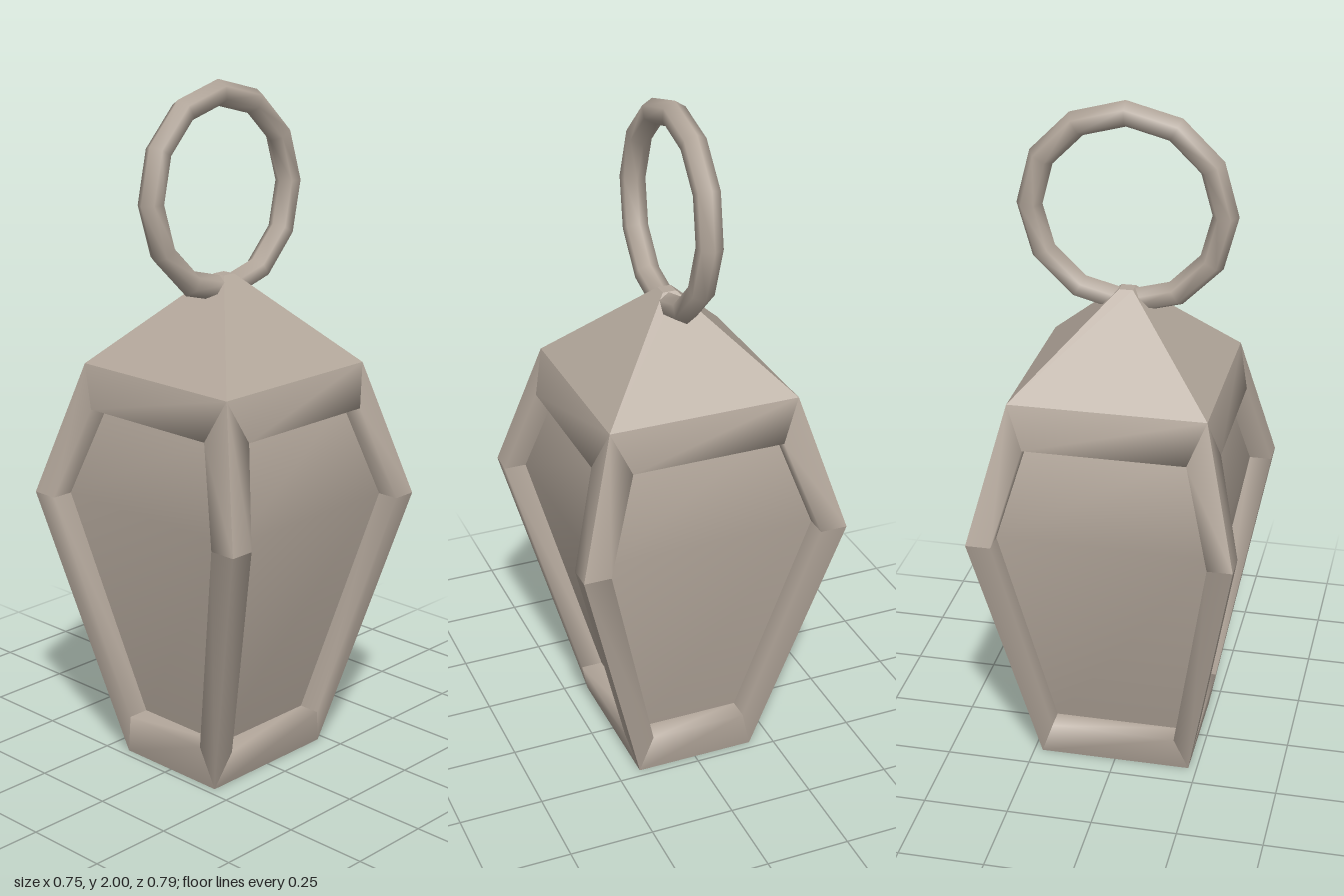
import * as THREE from 'three';

const RECESS = 0.065;

// Six-point coffin outline, counter-clockwise, from [y, halfWidth] rows
function outline([b, m, t], depthAt) {
  return [[-1, b], [1, b], [1, m], [1, t], [-1, t], [-1, m]]
    .map(([s, [y, w]]) => [s * w, y, depthAt(y)]);
}

function indexed(points, index) {
  const g = new THREE.BufferGeometry();
  g.setAttribute('position', new THREE.Float32BufferAttribute(points.flat(), 3));
  g.setIndex(index);
  g.computeVertexNormals();
  return g;
}

// One wall of the lantern: a bent frame with a recessed smooth panel, facing +z
function createSide(name, outerRows, innerRows, depths, material) {
  const ys = outerRows.map((r) => r[0]);
  const depthAt = (y) => {
    const i = y < ys[1] ? 0 : 1;
    return THREE.MathUtils.mapLinear(y, ys[i], ys[i + 1], depths[i], depths[i + 1]);
  };
  const outer = outline(outerRows, depthAt);
  const inner = outline(innerRows, depthAt);
  const back = outline(innerRows, (y) => depthAt(y) - RECESS);
  const side = new THREE.Group();
  side.name = name;

  // Frame bars, each softened into its inner reveal
  for (let i = 0; i < 6; i++) {
    const j = (i + 1) % 6;
    const bar = new THREE.Mesh(indexed(
      [outer[i], outer[j], inner[i], inner[j], back[i], back[j]],
      [0, 1, 3, 0, 3, 2, 2, 3, 5, 2, 5, 4]), material);
    bar.name = 'frameBar';
    side.add(bar);
  }

  // Recessed panel, smooth over the bend
  const panel = new THREE.Mesh(
    indexed(back, [0, 1, 2, 0, 2, 5, 5, 2, 3, 5, 3, 4]), material);
  panel.name = 'panel';
  side.add(panel);
  return side;
}

export function createModel() {
  const model = new THREE.Group();
  model.name = 'hangingLantern';
  const metal = new THREE.MeshStandardMaterial({ color: 0xb4a89c });
  metal.name = 'warm grey metal';

  // Half sizes of the body at foot, waist and eaves
  const levels = [0, 0.81, 1.2];
  const halfX = [0.225, 0.377, 0.28];
  const halfZ = [0.18, 0.397, 0.28];
  const rows = (half) => levels.map((y, i) => [y, half[i]]);

  // Front and back, then the two flanks
  const frontInner = [[0.115, 0.185], [0.81, 0.305], [1.08, 0.23]];
  const flankInner = [[0.13, 0.145], [0.81, 0.317], [1.08, 0.225]];
  ['front', 'left', 'back', 'right'].forEach((name, i) => {
    const side = i % 2
      ? createSide(name + 'Side', rows(halfZ), flankInner, halfX, metal)
      : createSide(name + 'Side', rows(halfX), frontInner, halfZ, metal);
    side.rotation.y = i * Math.PI / 2;
    model.add(side);
  });

  // Underside
  const base = new THREE.Mesh(new THREE.PlaneGeometry(2 * halfX[0], 2 * halfZ[0]), metal);
  base.name = 'base';
  base.rotation.x = Math.PI / 2;
  model.add(base);

  // Pyramid roof with a tiny flat tip
  const roofGeometry = new THREE.CylinderGeometry(
    0.02 * Math.SQRT2, 0.28 * Math.SQRT2, 0.26, 4, 1).rotateY(Math.PI / 4).toNonIndexed();
  roofGeometry.computeVertexNormals();
  const roof = new THREE.Mesh(roofGeometry, metal);
  roof.name = 'roof';
  roof.position.y = 1.33;
  model.add(roof);

  // Hanging ring, leaning slightly back
  const ring = new THREE.Mesh(new THREE.TorusGeometry(0.274, 0.037, 6, 12), metal);
  ring.name = 'hangingRing';
  ring.position.set(0, 1.69, -0.008);
  ring.rotation.x = -0.047;
  model.add(ring);

  return model;
}
